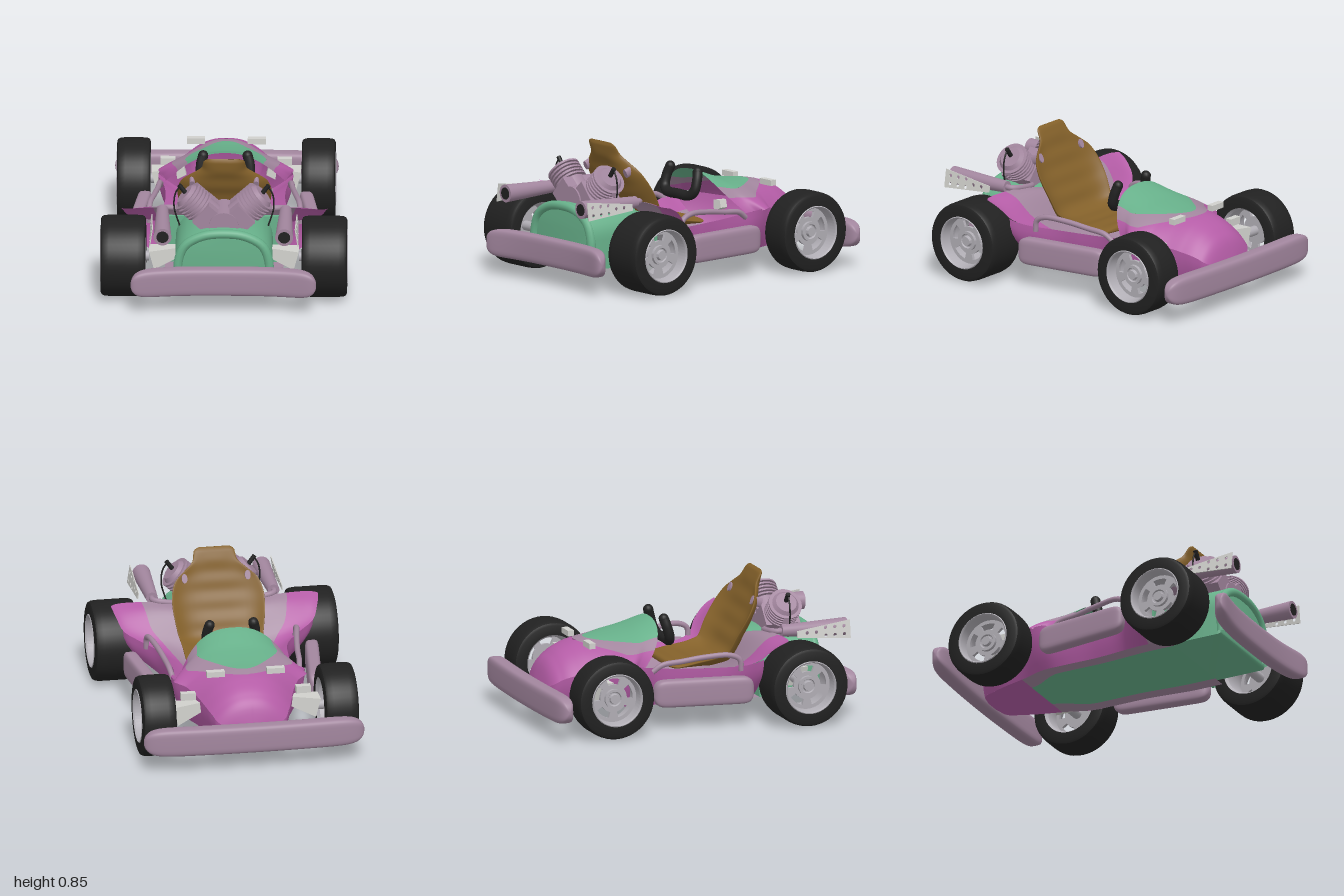
import * as THREE from 'three';
import { mergeVertices, toCreasedNormals } from 'three/addons/utils/BufferGeometryUtils.js';

const V = (x, y, z) => new THREE.Vector3(x, y, z);
const { clamp, lerp, smoothstep } = THREE.MathUtils;
const mat = (name, color) => new THREE.MeshStandardMaterial({ name, color, side: THREE.DoubleSide });

export function createModel() {
  const model = new THREE.Group();
  model.name = 'goKart';
  const magenta = mat('magenta paint', 0xb45ca6), green = mat('green paint', 0x67b08a);
  const mauve = mat('mauve metal', 0xa2869e), brown = mat('brown seat', 0x84612a);
  const black = mat('black rubber', 0x212121), silver = mat('silver rim', 0xb0adb4);
  const white = mat('pale metal', 0xd0d0cc);

  const add = (name, geo, m, parent = model) => {
    const o = new THREE.Mesh(geo, m);
    o.name = name;
    parent.add(o);
    return o;
  };
  // smooth surface from a rule f(u, v) with u, v in 0..1; flip turns it inside out
  const surf = (name, m, nu, nv, flip, f) => {
    const pos = [], idx = [];
    for (let i = 0; i <= nu; i++) for (let j = 0; j <= nv; j++) pos.push(...f(i / nu, j / nv));
    for (let i = 0; i < nu; i++) for (let j = 0; j < nv; j++) {
      const a = i * (nv + 1) + j, b = a + nv + 1;
      idx.push(...(flip ? [a, a + 1, b, b, a + 1, b + 1] : [a, b, a + 1, b, b + 1, a + 1]));
    }
    let g = new THREE.BufferGeometry();
    g.setAttribute('position', new THREE.Float32BufferAttribute(pos, 3));
    g.setIndex(idx);
    g = mergeVertices(g, 1e-5);
    g.computeVertexNormals();
    return add(name, g, m);
  };
  const tube = (name, m, pts, r, n = 40) =>
    add(name, new THREE.TubeGeometry(new THREE.CatmullRomCurve3(pts.map(p => V(...p))), n, r, 10), m);
  const rod = (name, m, a, b, r0, r1 = r0, sides = 28) => {
    const d = V(...b).sub(V(...a));
    const g = new THREE.CylinderGeometry(r1, r0, d.length(), sides);
    const o = add(name, sides < 8 ? toCreasedNormals(g.rotateY(Math.PI / 4), 0.3) : g, m);
    o.position.copy(V(...a)).addScaledVector(d, 0.5);
    o.quaternion.setFromUnitVectors(V(0, 1, 0), d.normalize());
    return o;
  };
  const box = (name, m, size, p) => {
    const o = add(name, new THREE.BoxGeometry(...size), m);
    o.position.set(...p);
    return o;
  };
  const spow = (v, e) => Math.sign(v) * Math.abs(v) ** e;

  // body table: z, half width, half width at floor, edge height, nose crown height
  const rows = [
    [-0.89, 0.05, 0.05, 0.24, 0.25], [-0.88, 0.13, 0.11, 0.24, 0.29], [-0.86, 0.19, 0.15, 0.26, 0.35],
    [-0.8, 0.235, 0.18, 0.30, 0.42], [-0.7, 0.27, 0.22, 0.33, 0.475], [-0.6, 0.30, 0.25, 0.35, 0.50],
    [-0.5, 0.345, 0.28, 0.37, 0.51], [-0.4, 0.40, 0.32, 0.38, 0.525], [-0.33, 0.41, 0.33, 0.375, 0.54],
    [-0.25, 0.38, 0.33, 0.36, 0.57], [-0.16, 0.365, 0.33, 0.345, 0.60], [0, 0.37, 0.33, 0.335, 0.6],
    [0.2, 0.41, 0.35, 0.335, 0.6], [0.3, 0.50, 0.36, 0.36, 0.6], [0.36, 0.58, 0.36, 0.40, 0.6],
    [0.45, 0.62, 0.36, 0.47, 0.6], [0.54, 0.64, 0.36, 0.515, 0.6]];
  const table = new THREE.CubicInterpolant(rows.map(r => r[0]), rows.flatMap(r => r.slice(1)), 4);
  const row = z => [...table.evaluate(z)];
  const nose = (z, u) => {
    const [w, , e, c] = row(z);
    return [u * w, e + (c - e) * (1 - Math.abs(u) ** 2.4), z - 0.17 * u ** 4 * Math.max(0, (z + 0.5) / 0.34)];
  };
  const tub = (z, u) => {
    const [w, , e] = row(z), a = Math.abs(u), k = smoothstep(z, 0.25, 0.5), c = lerp(0.2, 0.45, smoothstep(z, 0.15, 0.5));
    const y = c + (e - c) * a ** lerp(2, 1.4, k) + 0.04 * k * Math.sin(Math.PI * a);
    return [u * w, y, z - (0.08 * (1 - a) + 0.04 * a ** 20) * clamp((z - 0.3) / 0.2, 0, 1)];
  };
  const uGreen = z => 0.63 * clamp((z + 0.585) / 0.3, 0, 1) ** 0.45;
  const uBand = z => 0.8 * clamp((z + 0.645) / 0.25, 0, 1) ** 0.4;

  // nose cowl: green crown, mauve band, magenta flanks
  surf('noseCrown', green, 40, 24, false, (t, v) => {
    const z = lerp(-0.585, -0.16, t * t);
    return nose(z, lerp(-1, 1, v) * uGreen(z));
  });
  for (const s of [-1, 1]) {
    surf('noseBand', mauve, 60, 8, s < 0, (t, v) => {
      const z = lerp(-0.645, -0.16, t * t);
      return nose(z, s * lerp(uGreen(z), uBand(z), v));
    });
    surf('noseFlank', magenta, 80, 14, s < 0, (t, v) => {
      const z = lerp(-0.89, -0.16, t);
      return nose(z, s * lerp(uBand(z), 1, v));
    });
    // cockpit sill and rear fender
    surf('cockpitTub', mauve, 40, 10, s < 0, (t, v) => tub(lerp(-0.36, 0.54, t), s * 0.7 * v));
    surf('rearFender', magenta, 40, 12, s < 0, (t, v) => tub(lerp(-0.36, 0.54, t), s * lerp(0.7, 1, v)));
    surf('bodySide', magenta, 70, 6, s < 0, (t, v) => {
      const z = lerp(-0.89, 0.37, t), [w, b, e] = row(z);
      return [s * lerp(w, b, v * v), lerp(e, 0.12, v), z];
    });
    surf('floorEdge', mauve, 24, 2, s > 0, (t, v) => {
      const z = lerp(-0.55, 0.5, t), b = row(z)[1];
      return [s * b * lerp(lerp(0.5, 0.74, smoothstep(z, -0.55, -0.3)), 1, v), 0.12, z];
    });
  }
  surf('noseTip', magenta, 2, 4, false, (t, v) => [0.05 * lerp(-1, 1, t), lerp(0.12, 0.25, v), -0.889]);
  surf('noseFloor', magenta, 20, 4, true, (t, v) => {
    const z = lerp(-0.89, -0.55, t);
    return [row(z)[1] * lerp(-1, 1, v), 0.12, z];
  });
  surf('floorPan', green, 24, 2, true, (t, v) => {
    const z = lerp(-0.55, 0.5, t);
    return [row(z)[1] * lerp(0.5, 0.74, smoothstep(z, -0.55, -0.3)) * lerp(-1, 1, v), 0.12, z];
  });
  box('rearBulkhead', green, [0.8, 0.3, 0.02], [0, 0.28, 0.42]);

  // rounded engine deck with a raised rim on its end
  const arch = new THREE.Shape();
  arch.moveTo(-0.275, 0.14).lineTo(0.275, 0.14).lineTo(0.275, 0.3);
  arch.bezierCurveTo(0.275, 0.43, 0.16, 0.475, 0, 0.475);
  arch.bezierCurveTo(-0.16, 0.475, -0.275, 0.43, -0.275, 0.3);
  const deck = new THREE.ExtrudeGeometry(arch, { depth: 0.36, bevelSize: 0.02, bevelThickness: 0.02, bevelSegments: 3, curveSegments: 16 });
  add('engineDeck', toCreasedNormals(deck, 0.7), green).position.z = 0.45;
  tube('deckRim', green, [[-0.275, 0.14, 0.825], [-0.275, 0.3, 0.825], [-0.235, 0.4, 0.825], [-0.13, 0.462, 0.825], [0, 0.478, 0.825],
    [0.13, 0.462, 0.825], [0.235, 0.4, 0.825], [0.275, 0.3, 0.825], [0.275, 0.14, 0.825]], 0.028);

  // rounded-box pods: bumpers run along x, side pods along z
  const pod = (name, len, hy, hd, y, path, alongX) => surf(name, mauve, 56, 32, !alongX, (t, v) => {
    const q = -Math.cos(t * Math.PI), r = Math.sqrt(Math.max(0, 1 - Math.abs(q) ** 14)), a = v * Math.PI * 2;
    const off = hd * r * spow(Math.cos(a), 0.45), yy = y + hy * r * spow(Math.sin(a), 0.45);
    return alongX ? [q * len, yy, path(q) + off] : [path(q) + off, yy, q * len];
  });
  pod('rearBumper', 0.565, 0.087, 0.047, 0.198, q => 0.897 + 0.066 * Math.abs(q) ** 3, true);
  pod('frontBumper', 0.68, 0.087, 0.05, 0.198, q => -0.95 + 0.025 * q * q, true);
  for (const s of [-1, 1]) pod('sidePod', 0.31, 0.085, 0.043, 0.225, q => s * (0.525 + 0.04 * q), false);

  // bucket seat: pan then back, each section an oval wrapping forward at the sides
  const seat = new THREE.CatmullRomCurve3([V(0, 0.32, -0.1), V(0, 0.312, 0.05), V(0, 0.308, 0.2), V(0, 0.335, 0.3),
    V(0, 0.46, 0.375), V(0, 0.6, 0.445), V(0, 0.74, 0.5), V(0, 0.85, 0.535)]);
  const widths = new THREE.CubicInterpolant([0, 0.02, 0.06, 0.3, 0.45, 0.62, 0.72, 0.8, 0.86, 0.91, 0.96, 0.985, 1],
    [0.2, 0.235, 0.25, 0.255, 0.265, 0.285, 0.28, 0.25, 0.19, 0.14, 0.128, 0.12, 0.095], 1);
  surf('bucketSeat', brown, 80, 40, true, (t, v) => {
    const c = seat.getPointAt(t), d = seat.getTangentAt(t), w = widths.evaluate(t)[0], a = v * Math.PI * 2;
    const end = Math.sqrt(Math.max(0, 1 - Math.abs(2 * t - 1) ** 24));
    const q = spow(Math.cos(a), 0.7), quilt = 0.0025 * Math.sin(t * 50) * (1 - q * q);
    const wrap = 0.07 * Math.sin(Math.PI * clamp(t * 1.05 - 0.05, 0, 1)) * q ** 4;
    const n = (0.022 * end + quilt) * Math.sin(a) + wrap;
    return [w * q, c.y + d.z * n, c.z - d.y * n];
  });

  // steering wheel, open at the top
  tube('steeringGrip', black, [[-0.135, 0.605, -0.112], [-0.148, 0.55, -0.095], [-0.145, 0.49, -0.078], [-0.11, 0.46, -0.068],
    [0, 0.457, -0.066], [0.11, 0.46, -0.068], [0.145, 0.49, -0.078], [0.148, 0.55, -0.095], [0.135, 0.605, -0.112]], 0.031, 60);
  for (const s of [-1, 1]) {
    add('gripEnd', new THREE.SphereGeometry(0.031, 16, 10), black).position.set(s * 0.135, 0.605, -0.112);
    // harness slot through the seat back
    const slot = rod('harnessSlot', mauve, [s * 0.195, 0.665, 0.497], [s * 0.195, 0.69, 0.436], 0.022);
    slot.scale.set(0.8, 1, 1.3);
  }

  // V-twin engine
  rod('crankcase', mauve, [0, 0.5, 0.54], [0, 0.5, 0.765], 0.09);
  for (const s of [-1, 1]) {
    const at = d => [s * d * 0.74, 0.45 + d * 0.67, 0.645];
    rod('cylinderBarrel', mauve, at(0.06), at(0.3), 0.085);
    for (let i = 0; i < 5; i++) rod('coolingFin', mauve, at(0.195 + i * 0.024), at(0.207 + i * 0.024), 0.104);
    rod('cylinderHead', mauve, at(0.295), at(0.325), 0.09, 0.065);
    box('cylinderBase', mauve, [0.15, 0.2, 0.22], at(0.09)).rotation.z = -s * 0.835;
    rod('sparkPlug', black, [s * 0.235, 0.675, 0.645], [s * 0.272, 0.725, 0.645], 0.014);
    tube('sparkCable', black, [[s * 0.265, 0.72, 0.645], [s * 0.295, 0.67, 0.645], [s * 0.303, 0.58, 0.645], [s * 0.27, 0.46, 0.645]], 0.005);

    // exhaust with header pipe and perforated shield
    rod('muffler', mauve, [s * 0.375, 0.525, 0.56], [s * 0.37, 0.52, 0.98], 0.036, 0.055);
    rod('mufflerBore', black, [s * 0.37, 0.52, 0.95], [s * 0.37, 0.52, 0.983], 0.037);
    tube('headerPipe', mauve, [[s * 0.375, 0.525, 0.58], [s * 0.375, 0.525, 0.535], [s * 0.345, 0.522, 0.51],
      [s * 0.2, 0.5, 0.515], [s * 0.12, 0.48, 0.58]], 0.018);
    const plate = new THREE.Shape([[-0.985, 0.46], [-0.985, 0.575], [-0.64, 0.53], [-0.64, 0.49]].map(p => new THREE.Vector2(...p)));
    for (let i = 0; i < 5; i++) for (const k of i < 3 ? [-1, 1] : [0]) {
      const h = new THREE.Path();
      h.absarc(-0.945 + i * 0.06, 0.515 + k * 0.025, 0.011, 0, Math.PI * 2);
      plate.holes.push(h);
    }
    const shield = new THREE.ExtrudeGeometry(plate, { depth: 0.006, bevelEnabled: false, curveSegments: 6 });
    shield.rotateY(Math.PI / 2).translate(0, -0.515, 0).rotateZ(s * 0.15);
    add('exhaustShield', shield, white).position.set(s * 0.443, 0.515, 0);

    // side rails
    tube('sideRail', mauve, [[s * 0.46, 0.32, 0.27], [s * 0.46, 0.39, 0.26], [s * 0.455, 0.42, 0.2], [s * 0.43, 0.415, 0.05],
      [s * 0.41, 0.395, -0.1], [s * 0.4, 0.38, -0.22], [s * 0.39, 0.34, -0.28]], 0.017);

    // suspension arms and hood brackets
    for (const z of [-0.615, 0.645])
      rod('suspensionArm', white, [s * 0.25, 0.3, z], [s * 0.44, 0.25, z], 0.035, 0.085, 4);
    box('hoodBracket', white, [0.11, 0.035, 0.04], [s * 0.185, 0.495, -0.615]);
    box('upperBracket', white, [0.09, 0.045, 0.04], [s * 0.355, 0.36, -0.615]);
  }

  // wheels
  const slotted = new THREE.Shape().absarc(0, 0, 0.15, 0, Math.PI * 2);
  for (let i = 0; i < 5; i++) {
    const a = i * Math.PI * 0.4 + Math.PI / 2 - 0.38, h = new THREE.Path();
    h.absarc(0, 0, 0.124, a, a + 0.76, false);
    h.absarc(0, 0, 0.086, a + 0.76, a, true);
    slotted.holes.push(h);
  }
  const lathe = pts => toCreasedNormals(new THREE.LatheGeometry(pts.map(p => new THREE.Vector2(...p)), 48).rotateZ(-Math.PI / 2), 0.6);
  const wheel = (name, x, z, h, s) => {
    const g = new THREE.Group();
    g.name = name;
    g.position.set(s * x, 0.247, z);
    if (s < 0) g.rotation.y = Math.PI;
    model.add(g);
    add('tyre', lathe([[0.165, -h], [0.222, -h], [0.237, -h + 0.006], [0.244, -h + 0.02], [0.247, -h + 0.05],
      [0.247, h - 0.05], [0.244, h - 0.02], [0.237, h - 0.006], [0.222, h], [0.165, h]]), black, g);
    add('rimBarrel', lathe([[0.168, -h], [0.15, -h + 0.02], [0.14, 0], [0.146, h - 0.08],
      [0.152, h - 0.006], [0.16, h + 0.004], [0.168, h - 0.004]]), silver, g);
    const disc = new THREE.ExtrudeGeometry(slotted, { depth: 0.02, bevelEnabled: false, curveSegments: 24 });
    add('rimDisc', disc.rotateY(Math.PI / 2), silver, g).position.x = h - 0.09;
    add('hub', lathe([[0.06, h - 0.09], [0.06, h - 0.05], [0.045, h - 0.05], [0.04, h - 0.06], [0.032, h - 0.06],
      [0.028, h - 0.04], [0, h - 0.04]]), silver, g);
    add('axleStub', new THREE.CylinderGeometry(0.03, 0.03, h + 0.04, 16).rotateZ(Math.PI / 2), silver, g).position.x = -h / 2;
  };
  for (const s of [-1, 1]) {
    wheel('rearWheel', 0.612, 0.615, 0.137, s);
    wheel('frontWheel', 0.562, -0.61, 0.102, s);
  }
  return model;
}
